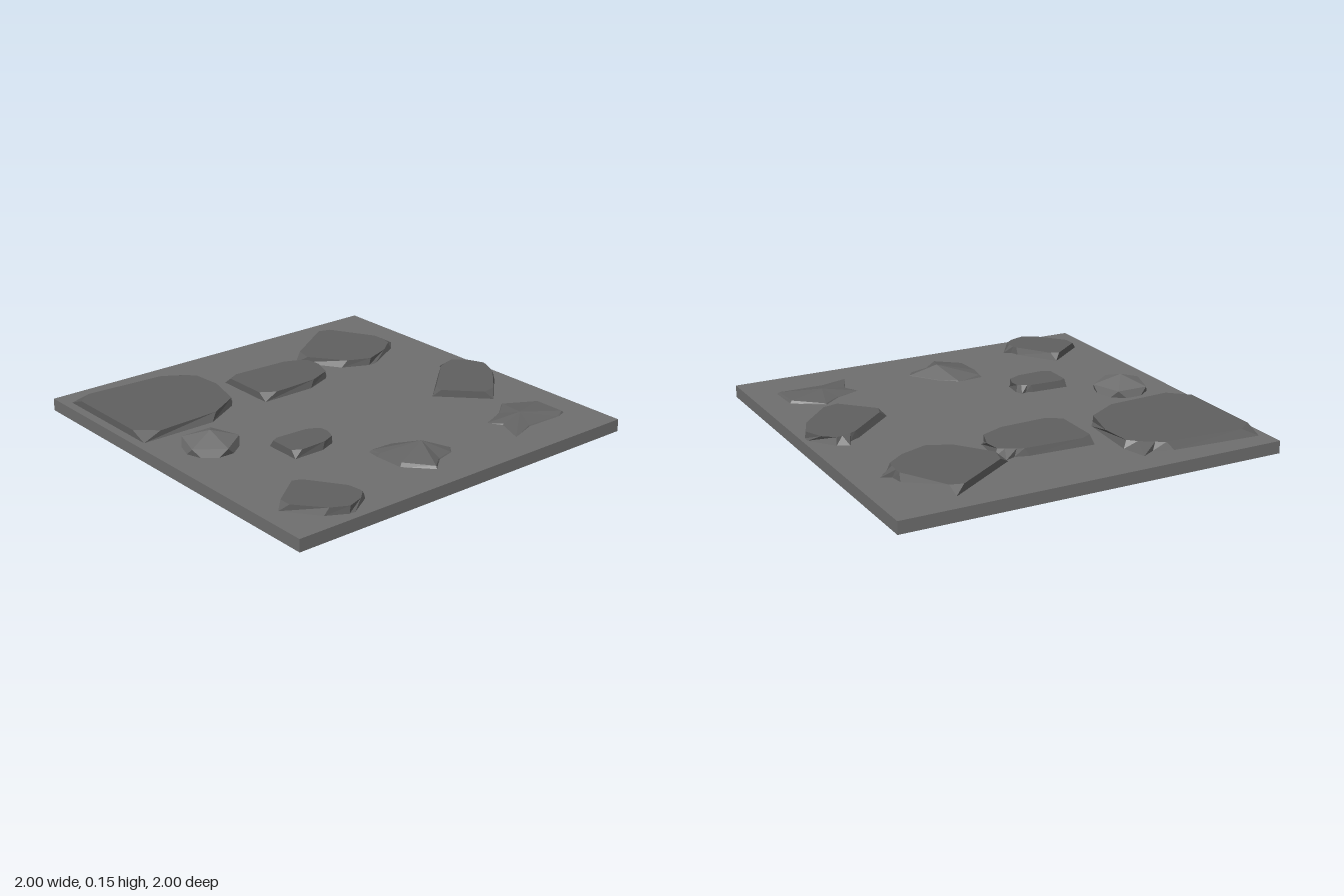
import * as THREE from 'three';

const GROUND = 0.063, TOP = 0.1;
const paint = (color) => new THREE.MeshStandardMaterial({ color, flatShading: true });
const slabGrey = paint(0x6f6f6f), stoneGrey = paint(0x606060), moundGrey = paint(0x646464), boulderGrey = paint(0x6e6e6e);

// Faceted rock: side walls between two loops of points, closed by a fan to a peak.
function rockGeometry(lower, upper, peak) {
  const pos = [];
  const n = lower.length;
  for (let i = 0; i < n; i++) {
    const j = (i + 1) % n;
    pos.push(...lower[i], ...lower[j], ...upper[j]);
    pos.push(...lower[i], ...upper[j], ...upper[i]);
    pos.push(...peak, ...upper[i], ...upper[j]);
  }
  const g = new THREE.BufferGeometry();
  g.setAttribute('position', new THREE.Float32BufferAttribute(pos, 3));
  g.computeVertexNormals();
  return g;
}

// Flat stone outline as [base x, base z, top x, top z]; the front left corner is the origin,
// the front edge is 1 wide and the stone reaches back to z = -1.
const STONE = [
  [0, 0, 0.05, -0.12], [0, 0, 0.14, 0],
  [1, 0, 0.85, 0], [1, 0, 0.99, -0.15],
  [1, -0.6, 0.96, -0.66], [0.83, -0.9, 0.81, -0.91],
  [0.75, -0.96, 0.5, -0.99], [0.24, -1, 0.26, -0.97],
  [0.05, -0.95, 0.2, -0.91], [0.11, -0.84, 0.13, -0.81],
  [0.05, -0.7, 0.09, -0.74],
];

// Corner x, corner z, width, depth, turn
const STONES = [
  [-0.895, 0.955, 0.655, 0.665, 0],
  [-0.625, 0.2, 0.345, 0.49, 0],
  [0.165, 0.515, 0.195, 0.275, 0],
  [-0.88, -0.66, 0.475, 0.43, -0.99],
  [0.2, -0.5, 0.31, 0.455, 0.77],
  [0.57, 0.69, 0.275, 0.34, -0.92],
];

// Low mounds: rim points [x, z, rim height] and a peak
const MOUNDS = [
  {
    peak: [0.665, 0.12, 0.005],
    rim: [[0.505, 0.06, 0.066], [0.515, 0.2, 0.075], [0.585, 0.207, 0.082], [0.735, 0.2, 0.082],
      [0.86, 0.085, 0.075], [0.79, 0, 0.068], [0.765, -0.1, 0.066], [0.72, -0.137, 0.065], [0.57, -0.03, 0.065]],
  },
  {
    peak: [0.67, 0.09, -0.65],
    rim: [[0.492, -0.7, 0.068], [0.57, -0.6, 0.066], [0.62, -0.465, 0.064], [0.69, -0.51, 0.068],
      [0.838, -0.45, 0.064], [0.785, -0.6, 0.068], [0.79, -0.8, 0.066], [0.77, -0.86, 0.074], [0.6, -0.855, 0.076]],
  },
];

export function createModel() {
  const model = new THREE.Group();
  const add = (name, geometry, material) => {
    const mesh = new THREE.Mesh(geometry, material);
    mesh.name = name;
    model.add(mesh);
    return mesh;
  };

  // Ground slab
  add('groundSlab', new THREE.BoxGeometry(2, GROUND, 2).translate(0, GROUND / 2, 0), slabGrey);

  // Flat stones, all one outline stretched and turned
  STONES.forEach(([x, z, w, d, turn], i) => {
    const lower = STONE.map((p) => [p[0] * w, GROUND, p[1] * d]);
    const upper = STONE.map((p) => [p[2] * w, TOP, p[3] * d]);
    const stone = add('flatStone' + (i + 1), rockGeometry(lower, upper, [0.5 * w, TOP, -0.5 * d]), stoneGrey);
    stone.position.set(x, 0, z);
    stone.rotation.y = turn;
  });

  // Low mounds, the rim drawn in slightly above the slab
  MOUNDS.forEach(({ peak, rim }, i) => {
    const inset = (value, centre) => value + (centre - value) * 0.06;
    const lower = rim.map(([x, z]) => [x, GROUND - 0.002, z]);
    const upper = rim.map(([x, z, y]) => [inset(x, peak[0]), y, inset(z, peak[2])]);
    add('lowMound' + (i + 1), rockGeometry(lower, upper, peak), moundGrey);
  });

  // Pointed boulder, one corner straight up, its underside flattened inside the slab
  const boulder = new THREE.IcosahedronGeometry(1, 0).rotateZ(-Math.atan(2 / (1 + Math.sqrt(5))));
  boulder.scale(0.16, 0.088, 0.16).translate(-0.007, 0.062, 0.735);
  const p = boulder.attributes.position;
  for (let i = 0; i < p.count; i++) p.setY(i, Math.max(p.getY(i), 0.02));
  boulder.computeVertexNormals();
  add('pointedBoulder', boulder, boulderGrey);

  return model;
}
